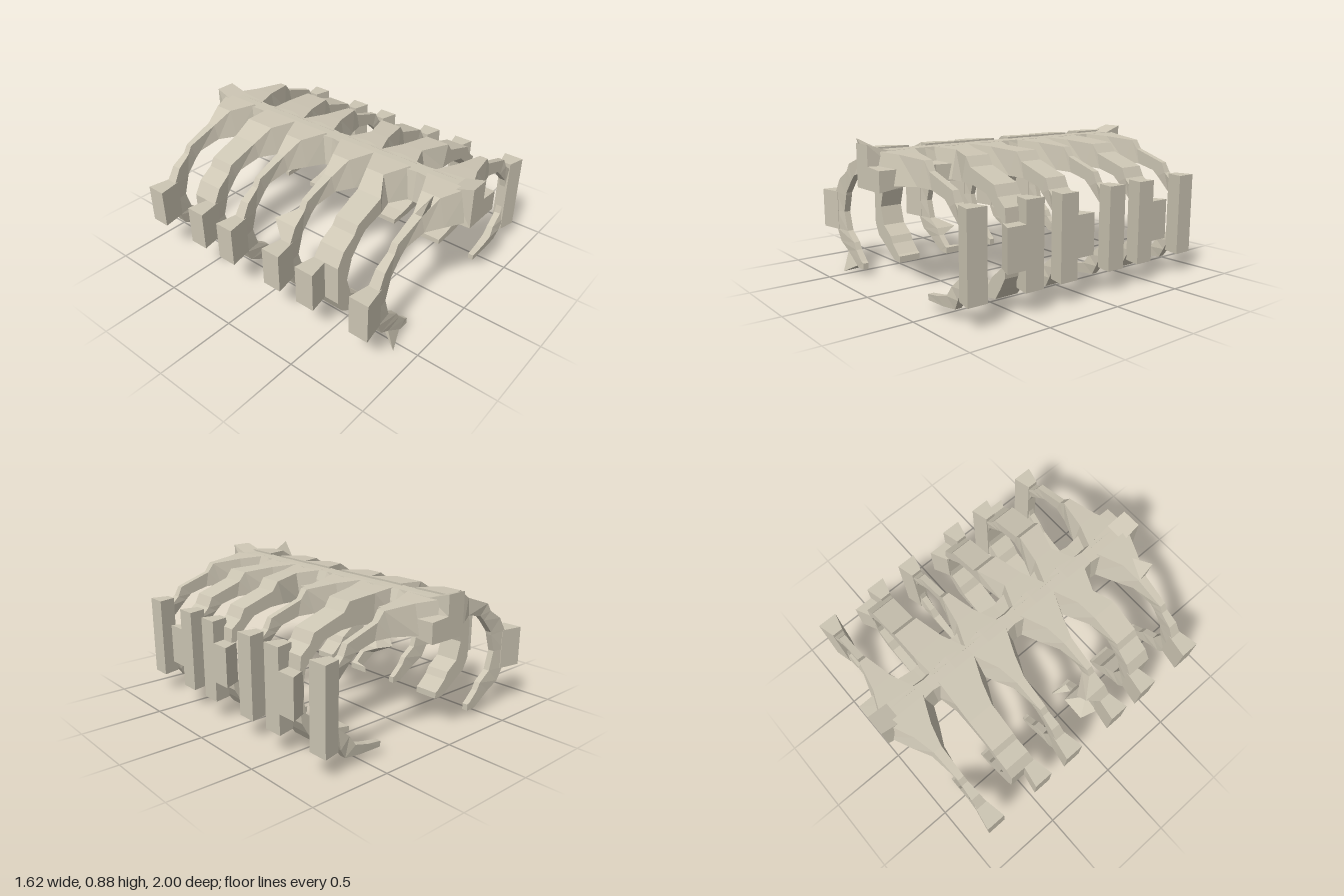
import * as THREE from 'three';
import { ConvexGeometry } from 'three/addons/geometries/ConvexGeometry.js';

const bone = new THREE.MeshStandardMaterial({ color: 0xcdc6b4 });
bone.name = 'bone';
bone.flatShading = true;

// Closed loft through equal-length loops of [x, y, z]; winding is fixed by signed volume.
function loft(loops) {
  const n = loops[0].length, tris = [];
  for (let i = 0; i + 1 < loops.length; i++) {
    for (let j = 0; j < n; j++) {
      const a = loops[i][j], b = loops[i][(j + 1) % n];
      const c = loops[i + 1][(j + 1) % n], d = loops[i + 1][j];
      tris.push([a, b, c], [a, c, d]);
    }
  }
  const first = loops[0], last = loops[loops.length - 1];
  for (let j = 1; j + 1 < n; j++) {
    tris.push([first[0], first[j + 1], first[j]], [last[0], last[j], last[j + 1]]);
  }
  let volume = 0;
  for (const [a, b, c] of tris) {
    volume += a[0] * (b[1] * c[2] - b[2] * c[1]) + a[1] * (b[2] * c[0] - b[0] * c[2]) + a[2] * (b[0] * c[1] - b[1] * c[0]);
  }
  if (volume < 0) tris.forEach((t) => t.reverse());
  const geo = new THREE.BufferGeometry();
  geo.setAttribute('position', new THREE.Float32BufferAttribute(tris.flat(2), 3));
  geo.computeVertexNormals();
  return geo;
}

function part(name, geo) {
  const mesh = new THREE.Mesh(geo, bone);
  mesh.name = name;
  return mesh;
}

// Rib stations from spine to tip: outer x, y, inner x, y, outer and inner half width.
const LEFT = [
  [0.03, 0.84, 0.03, 0.65, 0.13, 0.17], [0.19, 0.83, 0.19, 0.66, 0.065, 0.1],
  [0.38, 0.815, 0.34, 0.67, 0.025, 0.045], [0.42, 0.76, 0.44, 0.665, 0.02, 0.02],
  [0.63, 0.69, 0.56, 0.635, 0.02, 0.02], [0.66, 0.63, 0.6, 0.6, 0.025, 0.02],
  [0.72, 0.58, 0.69, 0.51, 0.035, 0.02], [0.74, 0.38, 0.715, 0.38, 0.035, 0.02],
  [0.72, 0.2, 0.69, 0.25, 0.035, 0.02], [0.68, 0.13, 0.61, 0.185, 0.03, 0.02],
  [0.64, 0.07, 0.57, 0.125, 0.02, 0.025], [0.53, 0.055, 0.48, 0.1, 0.018, 0.022],
  [0.38, 0.05, 0.38, 0.085, 0.016, 0.018],
];
const RIGHT = [
  [0.03, 0.85, 0.03, 0.65, 0.13, 0.17], [0.19, 0.84, 0.19, 0.665, 0.06, 0.1],
  [0.31, 0.77, 0.3, 0.67, 0.028, 0.045], [0.51, 0.7, 0.44, 0.635, 0.02, 0.022],
  [0.54, 0.65, 0.48, 0.6, 0.022, 0.02], [0.63, 0.59, 0.56, 0.51, 0.03, 0.02],
  [0.68, 0.505, 0.565, 0.49, 0.035, 0.02], [0.68, 0.38, 0.6, 0.38, 0.035, 0.02],
  [0.68, 0.26, 0.565, 0.26, 0.035, 0.02], [0.64, 0.18, 0.48, 0.2, 0.03, 0.02],
  [0.56, 0.13, 0.455, 0.155, 0.022, 0.02], [0.44, 0.05, 0.39, 0.095, 0.02, 0.02],
  [0.37, 0.045, 0.37, 0.085, 0.018, 0.018],
];

// Rib with four-sided sections; grow(i) widens station i along z in one direction.
function rib(stations, side, z, grow) {
  return loft(stations.map(([ox, oy, ix, iy, ho, hi], i) => {
    const g = grow(i);
    const lo = (h) => z - Math.max(h, -g), hiZ = (h) => z + Math.max(h, g);
    return [
      [side * ox, oy, lo(ho)], [side * ox, oy, hiZ(ho)],
      [side * ix, iy, hiZ(hi)], [side * ix, iy, lo(hi)],
    ];
  }));
}

// Plate at the flank of a rib, flaring outward.
function plate(side, x0, y0, y1, z, inner, outer) {
  const ring = (x, [a, b]) => [
    [side * x, y0, z + a], [side * x, y0, z + b], [side * x, y1, z + b], [side * x, y1, z + a],
  ];
  return loft([ring(x0, inner), ring(0.81, outer)]);
}

export function createModel() {
  const model = new THREE.Group();
  model.name = 'ribCage';

  // Spine: stepped section, flared at both ends, pinched between ribs
  const spineLoop = (z, top, bottom, halfTop, left, step, right) => [
    [step, 0.76, z], [halfTop, top, z], [-halfTop, top, z],
    [-left, bottom, z], [right, bottom, z], [right, 0.75, z],
  ];
  const spineStops = [];
  for (let i = -6; i <= 6; i++) {
    if (i === -6 || i === 6) {
      spineStops.push(spineLoop(Math.sign(i), 0.88, 0.63, 0.063, 0.063, 0.063, 0.188));
    } else {
      const z = [0, 0.19, 0.31, 0.44, 0.62, 0.87][Math.abs(i)] * Math.sign(i);
      const atRib = [1, 3, 5].includes(Math.abs(i));
      spineStops.push(atRib
        ? spineLoop(z, 0.84, 0.65, 0.07, 0.09, 0.09, 0.19)
        : spineLoop(z, 0.838, 0.65, 0.042, 0.065, 0.075, 0.16));
    }
  }
  model.add(part('spine', loft(spineStops)));

  // Ribs: z, growth on each side and the stations it covers
  const none = () => false;
  const ribs = [
    { z: -0.8125, g: 0, l: none, r: none },
    { z: -0.4375, g: -0.14, l: (i) => i > 0, r: (i) => i > 0 },
    { z: -0.1875, g: 0, l: none, r: none },
    { z: 0.1875, g: -0.125, l: (i) => i > 1, r: (i) => i === 5 || i === 9 || i > 11 },
    { z: 0.4375, g: 0.132, l: (i) => i > 1, r: (i) => i > 1 },
    { z: 0.8125, g: 0, l: none, r: none },
  ];
  for (const { z, g, l, r } of ribs) {
    model.add(part('leftRib', rib(LEFT, 1, z, (i) => (l(i) ? g : 0))));
    model.add(part('rightRib', rib(RIGHT, -1, z, (i) => (r(i) ? g : 0))));
    model.add(part('leftPlate', plate(1, 0.7, 0.13, 0.63, z, [-0.035, 0.035], [-0.0625, 0.0625])));
    model.add(part('rightPlate', plate(-1, 0.66, 0.258, 0.505, z, [-0.035, 0.035], [-0.0625, 0.0625])));
    if (g) {
      // Short side plate beside the long one on thick ribs
      const s = Math.sign(g);
      const span = (a, b) => (s > 0 ? [a, b] : [-b, -a]);
      model.add(part('leftSidePlate', plate(1, 0.7, 0.255, 0.5, z, span(0.02, 0.135), span(0.05, 0.1875))));
    }
  }

  // Pointed spurs on the front right rib
  const spur = (points) => new ConvexGeometry(points.map((p) => new THREE.Vector3(...p)));
  model.add(part('upperSpur', spur([
    [-0.31, 0.88, 0.875], [-0.31, 0.71, 0.82], [-0.19, 0.72, 0.83], [-0.19, 0.84, 0.83], [-0.31, 0.77, 0.795],
  ])));
  model.add(part('lowerSpur', spur([
    [-0.56, 0, 0.875], [-0.56, 0.14, 0.83], [-0.56, 0.14, 0.795], [-0.44, 0.045, 0.795], [-0.44, 0.06, 0.83],
  ])));
  return model;
}
